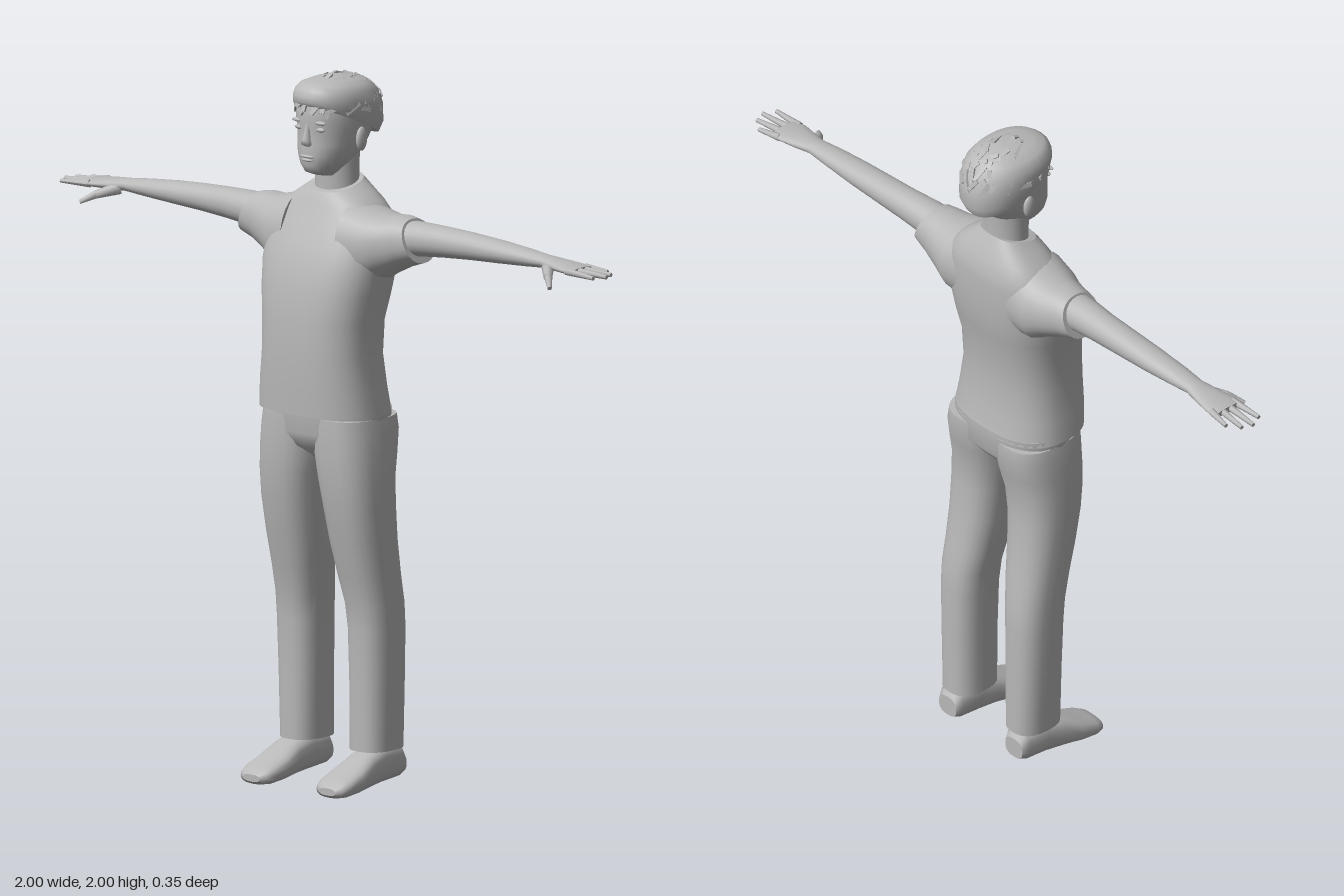
import * as THREE from 'three';
import { mergeVertices } from 'three/addons/utils/BufferGeometryUtils.js';

const grey = new THREE.MeshStandardMaterial({ color: 0xb8b8b8 });
grey.name = 'plain grey';

// Skin of rounded cross-sections along an axis.
// Section: [t, uMin, uMax, vMin, vMax, tilt]; axis y: u=z v=x, axis x: u=y v=z, axis z: u=x v=y
function loft(axis, sections, power = 2, n = 28) {
  const pos = [], idx = [];
  const place = (t, u, v) => pos.push(...(axis === 'y' ? [v, t, u] : axis === 'x' ? [t, u, v] : [u, v, t]));
  const round = (c) => Math.sign(c) * Math.abs(c) ** (2 / power);
  const ring = ([t, u0, u1, v0, v1, tilt = 0]) => {
    for (let j = 0; j < n; j++) {
      const a = (j / n) * Math.PI * 2, u = round(Math.cos(a)), v = round(Math.sin(a));
      place(t + tilt * u, (u0 + u1) / 2 + u * (u1 - u0) / 2, (v0 + v1) / 2 + v * (v1 - v0) / 2);
    }
  };
  sections.forEach(ring);
  for (let i = 0; i < sections.length - 1; i++) {
    for (let j = 0; j < n; j++) {
      const a = i * n + j, b = i * n + (j + 1) % n;
      idx.push(a, b, a + n, b, b + n, a + n);
    }
  }
  // closed ends with their own vertices, so rims stay crisp
  [sections[0], sections.at(-1)].forEach((s, end) => {
    const base = pos.length / 3;
    ring(s);
    place(s[0], (s[1] + s[2]) / 2, (s[3] + s[4]) / 2);
    for (let j = 0; j < n; j++) {
      const a = base + j, b = base + (j + 1) % n;
      idx.push(...(end ? [a, b, base + n] : [b, a, base + n]));
    }
  });
  const g = new THREE.BufferGeometry();
  g.setAttribute('position', new THREE.Float32BufferAttribute(pos, 3));
  g.setIndex(idx);
  g.computeVertexNormals();
  return g;
}

// Symmetric section across x for upright lofts
const sym = (rows) => rows.map(([y, z0, z1, w, tilt]) => [y, z0, z1, -w, w, tilt]);

function mirrored(geometry) {
  const g = geometry.clone().scale(-1, 1, 1);
  const ix = g.index.array;
  for (let i = 0; i < ix.length; i += 3) [ix[i], ix[i + 1]] = [ix[i + 1], ix[i]];
  g.computeVertexNormals();
  return g;
}

// Tapered limb between two points
function taper(a, b, r0, r1) {
  const A = new THREE.Vector3(...a), B = new THREE.Vector3(...b), d = B.clone().sub(A);
  const g = new THREE.CylinderGeometry(r1, r0, d.length(), 8, 1);
  g.applyQuaternion(new THREE.Quaternion().setFromUnitVectors(new THREE.Vector3(0, 1, 0), d.normalize()));
  return g.translate(...A.add(B).multiplyScalar(0.5).toArray());
}

const blob = (x, y, z, rx, ry, rz) => new THREE.SphereGeometry(1, 14, 10).scale(rx, ry, rz).translate(x, y, z);

export function createModel() {
  const model = new THREE.Group();
  model.name = 'standing man';
  const add = (name, g) => {
    const m = new THREE.Mesh(g, grey);
    m.name = name;
    model.add(m);
  };
  const pair = (name, g) => {
    add('left' + name, g);
    add('right' + name, mirrored(g));
  };

  // Shirt
  add('shirt', loft('y', sym([
    [1.06, -0.115, 0.165, 0.193], [1.13, -0.102, 0.168, 0.186], [1.22, -0.095, 0.17, 0.174],
    [1.32, -0.1, 0.167, 0.177], [1.4, -0.118, 0.158, 0.19], [1.47, -0.128, 0.142, 0.2],
    [1.53, -0.13, 0.12, 0.2], [1.58, -0.13, 0.095, 0.19], [1.615, -0.127, 0.078, 0.17],
    [1.645, -0.115, 0.066, 0.14, -0.005], [1.67, -0.1, 0.058, 0.105, -0.012], [1.69, -0.086, 0.05, 0.075, -0.02],
  ]), 2.5, 36));
  pair('Sleeve', loft('x', [
    [0.1, 1.41, 1.655, -0.12, 0.1], [0.165, 1.425, 1.635, -0.12, 0.09], [0.21, 1.455, 1.625, -0.108, 0.068],
    [0.26, 1.485, 1.627, -0.096, 0.05, -0.012], [0.302, 1.503, 1.622, -0.086, 0.042, -0.022],
  ], 2.2));

  // Arms and hands
  pair('Arm', loft('x', [
    [0.25, 1.51, 1.615, -0.075, 0.035], [0.32, 1.522, 1.617, -0.072, 0.03], [0.4, 1.529, 1.615, -0.07, 0.02],
    [0.5, 1.536, 1.611, -0.07, 0.016], [0.6, 1.541, 1.605, -0.068, 0.014], [0.7, 1.547, 1.596, -0.062, 0.01],
    [0.77, 1.552, 1.588, -0.056, 0.004], [0.82, 1.551, 1.583, -0.067, 0.014], [0.87, 1.551, 1.577, -0.075, 0.024],
    [0.905, 1.553, 1.572, -0.072, 0.022],
  ], 2.1, 22));
  const fingers = [[-0.064, -0.076, 0.952], [-0.038, -0.05, 0.988], [-0.012, -0.018, 1.0], [0.013, 0.018, 0.983]];
  for (const [z0, z1, tip] of fingers) {
    pair('Finger', taper([0.88, 1.563, z0], [tip, 1.558, z1], 0.011, 0.006));
  }
  pair('ThumbBase', taper([0.79, 1.56, -0.01], [0.835, 1.543, 0.04], 0.018, 0.012));
  pair('ThumbTip', taper([0.832, 1.545, 0.036], [0.868, 1.522, 0.07], 0.012, 0.006));

  // Trousers
  add('hips', loft('y', sym([
    [0.925, -0.04, 0.06, 0.03], [0.96, -0.085, 0.108, 0.12], [1.0, -0.115, 0.126, 0.192], [1.075, -0.115, 0.13, 0.187],
  ]), 2.4, 32));
  pair('TrouserLeg', loft('y', [
    [0.11, -0.12, 0.035, 0.067, 0.19], [0.3, -0.12, 0.036, 0.065, 0.196], [0.45, -0.12, 0.04, 0.062, 0.2],
    [0.52, -0.117, 0.047, 0.057, 0.2], [0.6, -0.105, 0.065, 0.044, 0.2], [0.7, -0.092, 0.09, 0.033, 0.202],
    [0.8, -0.086, 0.11, 0.024, 0.204], [0.88, -0.088, 0.121, 0.012, 0.203], [0.95, -0.104, 0.126, 0, 0.2],
    [1.01, -0.116, 0.127, -0.002, 0.195], [1.05, -0.114, 0.126, 0, 0.188],
  ], 2.5, 24));

  // Shoes
  pair('Shoe', loft('z', [
    [-0.12, 0.1, 0.17, 0.03, 0.09], [-0.1, 0.09, 0.18, 0.022, 0.12], [-0.03, 0.088, 0.182, 0.016, 0.125],
    [0.03, 0.085, 0.19, 0.01, 0.108], [0.085, 0.078, 0.198, 0.004, 0.078], [0.14, 0.08, 0.198, 0, 0.055],
    [0.165, 0.092, 0.188, 0.002, 0.042], [0.175, 0.11, 0.17, 0.01, 0.03],
  ], 2.6, 20));

  // Neck and head
  add('neck', loft('y', sym([[1.62, -0.085, 0.035, 0.068], [1.7, -0.08, 0.034, 0.064], [1.78, -0.085, 0.04, 0.064]])));
  add('head', loft('y', sym([
    [1.715, -0.01, 0.065, 0.028, 0.005], [1.73, -0.045, 0.092, 0.044], [1.75, -0.065, 0.102, 0.06],
    [1.78, -0.09, 0.105, 0.075], [1.81, -0.115, 0.103, 0.083], [1.85, -0.14, 0.1, 0.09],
    [1.88, -0.153, 0.106, 0.094], [1.93, -0.15, 0.1, 0.094], [1.965, -0.12, 0.08, 0.08], [1.98, -0.07, 0.04, 0.05],
  ]), 2.15));

  // Face
  add('nose', loft('y', sym([
    [1.805, 0.085, 0.104, 0.014], [1.812, 0.085, 0.119, 0.017], [1.825, 0.085, 0.118, 0.013],
    [1.845, 0.085, 0.11, 0.009], [1.872, 0.085, 0.103, 0.007],
  ]), 2, 12));
  add('upperLip', blob(0, 1.777, 0.1, 0.026, 0.005, 0.01));
  add('lowerLip', blob(0, 1.767, 0.1, 0.02, 0.005, 0.009));
  pair('Eye', blob(0.038, 1.854, 0.089, 0.017, 0.007, 0.008));
  pair('Brow', blob(0.04, 1.874, 0.093, 0.022, 0.006, 0.008));
  pair('Ear', blob(0.091, 1.82, -0.022, 0.011, 0.034, 0.02).rotateX(0));

  // Hair cap with a hairline that rises to the front
  add('hair', loft('y', sym([
    [1.865, -0.152, 0.106, 0.095, 0.055], [1.885, -0.168, 0.113, 0.102, 0.045], [1.92, -0.165, 0.112, 0.104, 0.025],
    [1.95, -0.15, 0.105, 0.098, 0.012], [1.97, -0.125, 0.09, 0.082, 0.004], [1.982, -0.09, 0.06, 0.055], [1.987, -0.04, 0.01, 0.015],
  ]), 2.2));

  // Short locks lying over the cap
  let seed = 7;
  const rnd = () => (seed = (seed * 16807) % 2147483647) / 2147483647;
  const up = new THREE.Vector3(0, 1, 0);
  for (let i = 0; i < 90; i++) {
    const a = i * 2.39996, h = 0.12 + 0.83 * (i / 90), r = Math.sqrt(1 - h * h);
    const normal = new THREE.Vector3(Math.cos(a) * r, h, Math.sin(a) * r);
    const lock = new THREE.BoxGeometry(0.012, 0.006, 0.03 + 0.022 * rnd());
    lock.rotateX(0.3 * (rnd() - 0.5)).rotateY((rnd() - 0.5) * 1.6);
    lock.applyQuaternion(new THREE.Quaternion().setFromUnitVectors(up, normal));
    lock.translate(normal.x * 0.103, 1.892 + h * 0.098, -0.028 + normal.z * 0.138);
    const p = lock.attributes.position;
    for (let k = 0; k < p.count; k++) p.setY(k, Math.min(p.getY(k), 2));
    add('hairLock', mergeVertices(lock));
  }
  return model;
}
